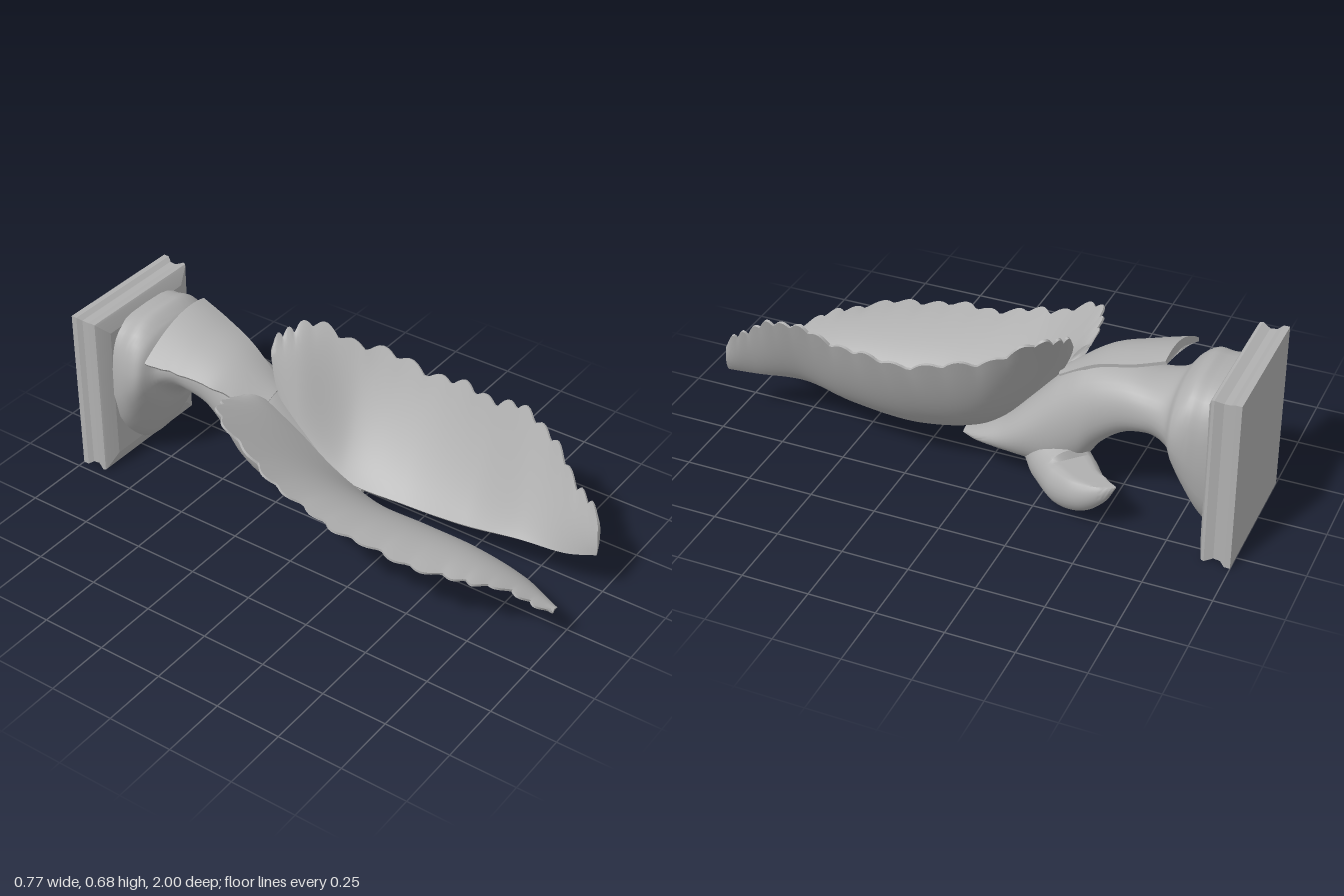
import * as THREE from 'three';
import { toCreasedNormals } from 'three/addons/utils/BufferGeometryUtils.js';

const V = (x, y, z) => new THREE.Vector3(x, y, z);
const curve = (pts) => new THREE.CatmullRomCurve3(pts.map((p) => V(...p)));

// Skin a list of closed rings, cap both ends, and turn all faces outward.
function loft(rings, crease) {
  const n = rings[0].length, pos = [], idx = [];
  rings.forEach((r) => r.forEach((p) => pos.push(p.x, p.y, p.z)));
  for (let i = 0; i < rings.length - 1; i++) {
    for (let j = 0; j < n; j++) {
      const a = i * n + j, b = i * n + (j + 1) % n;
      idx.push(a, b, a + n, b, b + n, a + n);
    }
  }
  [0, rings.length - 1].forEach((i) => {
    const c = rings[i].reduce((s, p) => s.add(p), V(0, 0, 0)).divideScalar(n);
    const k = pos.length / 3;
    pos.push(c.x, c.y, c.z);
    for (let j = 0; j < n; j++) {
      const a = i * n + j, b = i * n + (j + 1) % n;
      if (i === 0) idx.push(k, b, a); else idx.push(k, a, b);
    }
  });
  const at = (i) => V(pos[3 * i], pos[3 * i + 1], pos[3 * i + 2]);
  let volume = 0;
  for (let i = 0; i < idx.length; i += 3) volume += at(idx[i]).dot(at(idx[i + 1]).cross(at(idx[i + 2])));
  if (volume < 0) idx.reverse();
  const g = new THREE.BufferGeometry();
  g.setAttribute('position', new THREE.Float32BufferAttribute(pos, 3));
  g.setIndex(idx);
  return toCreasedNormals(g, crease);
}

// Curved sheet through rows of [inner, middle, outer] points, with a toothed outer edge.
function sheet(rows, thickness, teeth, depth, steps = 120, across = 14) {
  const [a, b, c] = [0, 1, 2].map((k) => curve(rows.map((r) => r[k])));
  const point = (u, v) => {
    const p = a.getPoint(u), q = b.getPoint(u), r = c.getPoint(u);
    const jag = depth * (Math.abs(Math.sin(u * Math.PI * teeth)) - 0.6 + 0.3 * Math.sin(u * 41));
    r.addScaledVector(r.clone().sub(q).normalize(), jag * v ** 3);
    return p.multiplyScalar(2 * (v - 0.5) * (v - 1))
      .addScaledVector(q, 4 * v * (1 - v))
      .addScaledVector(r, 2 * v * (v - 0.5));
  };
  const e = 0.02, rings = [];
  for (let i = 0; i <= steps; i++) {
    const u = i / steps, up = [], down = [];
    const u0 = Math.max(0, u - e), u1 = Math.min(1, u + e);
    for (let j = 0; j <= across; j++) {
      const v = j / across, v0 = Math.max(0, v - e), v1 = Math.min(1, v + e);
      const normal = point(u1, v).sub(point(u0, v)).cross(point(u, v1).sub(point(u, v0))).normalize();
      const t = thickness * (0.35 + 0.65 * Math.sin(Math.PI * v));
      up.push(point(u, v).addScaledVector(normal, t));
      down.push(point(u, v).addScaledVector(normal, -t));
    }
    rings.push([...up, ...down.reverse()]);
  }
  return loft(rings, 0.9);
}

export function createModel() {
  const model = new THREE.Group();
  const stone = new THREE.MeshStandardMaterial({ color: 0xb0b0b0 });
  stone.name = 'grey';
  const add = (name, geometry) => {
    const mesh = new THREE.Mesh(geometry, stone);
    mesh.name = name;
    model.add(mesh);
  };

  // Wall plate: rectangular moulding given as [z, inset]
  const plate = [[-1, 0], [-0.978, 0], [-0.96, 0.012], [-0.935, 0.014], [-0.905, 0.002],
    [-0.895, 0.004], [-0.89, 0.012], [-0.872, 0.062]];
  add('wallPlate', loft(plate.map(([z, d]) => [
    V(-0.22 + d, d, z), V(0.315 - d, d, z), V(0.315 - d, 0.66 - d, z), V(-0.22 + d, 0.66 - d, z),
  ]), 0.3));

  // Stem: [z, left x, right x, bottom, top, squareness], with a narrower underside at the plate
  const stem = [
    [-0.89, -0.16, 0.27, 0.03, 0.62, 0.5], [-0.85, -0.165, 0.28, 0.05, 0.625, 0.6],
    [-0.8, -0.17, 0.29, 0.12, 0.635, 0.7], [-0.75, -0.16, 0.285, 0.22, 0.605, 0.8],
    [-0.715, -0.1, 0.245, 0.29, 0.57, 0.9], [-0.65, -0.07, 0.22, 0.34, 0.555, 0.9],
    [-0.55, -0.06, 0.205, 0.32, 0.56, 0.9], [-0.45, -0.07, 0.2, 0.24, 0.55, 0.9],
    [-0.37, -0.075, 0.2, 0.13, 0.53, 0.95], [-0.28, -0.07, 0.2, 0.08, 0.46, 0.95],
    [-0.18, -0.045, 0.195, 0.1, 0.35, 1], [-0.08, -0.01, 0.175, 0.115, 0.245, 1],
    [0.02, 0.03, 0.145, 0.125, 0.18, 1], [0.08, 0.055, 0.11, 0.13, 0.15, 1],
  ];
  const lower = curve(stem.map(([z, x0, , y0]) => [x0, y0, z]));
  const upper = curve(stem.map(([z, , x1, , y1]) => [x1, y1, z]));
  const pow = (s, k) => Math.sign(s) * Math.abs(s) ** k;
  const stemRings = [];
  for (let i = 0; i <= 65; i++) {
    const u = i / 65, f = u * (stem.length - 1), m = Math.min(Math.floor(f), stem.length - 2);
    const k = THREE.MathUtils.lerp(stem[m][5], stem[m + 1][5], f - m);
    const p = lower.getPoint(u), q = upper.getPoint(u);
    const taper = THREE.MathUtils.smoothstep(-p.z, 0.6, 0.75);
    stemRings.push(Array.from({ length: 36 }, (_, j) => {
      const t = (j / 36) * Math.PI * 2;
      const w = 1 - taper * (Math.cos(t) < 0 ? 0.6 : 0.3) * Math.max(0, -Math.sin(t));
      return V((p.x + q.x + (q.x - p.x) * w * pow(Math.cos(t), k)) / 2,
        (p.y + q.y + (q.y - p.y) * pow(Math.sin(t), k)) / 2, p.z);
    }));
  }
  add('stem', loft(stemRings, 0.9));

  // Hook: horn swelling out of the stem and curling back, flat on top
  const spine = [[0.06, 0.19, -0.08, 0.03], [0.075, 0.165, -0.2, 0.08], [0.13, 0.135, -0.3, 0.108],
    [0.205, 0.125, -0.38, 0.104], [0.26, 0.145, -0.45, 0.082], [0.285, 0.175, -0.52, 0.045],
    [0.29, 0.2, -0.57, 0.004]];
  const path = curve(spine), radii = curve(spine.map((s) => [s[3], 0, 0]));
  const hookRings = [];
  for (let i = 0; i <= 40; i++) {
    const u = i / 40, c = path.getPoint(u), r = radii.getPoint(u).x;
    const along = path.getTangent(u), side = V(0, 1, 0).cross(along).normalize();
    const up = along.clone().cross(side);
    hookRings.push(Array.from({ length: 28 }, (_, j) => {
      const t = (j / 28) * Math.PI * 2;
      const p = c.clone().addScaledVector(side, r * Math.cos(t)).addScaledVector(up, r * Math.sin(t));
      if (u > 0.45) p.y = Math.min(p.y, 0.2);
      return p;
    }));
  }
  add('hook', loft(hookRings, 0.8));

  // Flap: tilted tongue sinking into the top of the stem
  add('flap', sheet([
    [[0.155, 0.655, -0.685], [0, 0.64, -0.69], [-0.19, 0.55, -0.69]],
    [[0.15, 0.61, -0.57], [0, 0.6, -0.57], [-0.155, 0.535, -0.57]],
    [[0.125, 0.56, -0.43], [0, 0.55, -0.43], [-0.12, 0.505, -0.43]],
    [[0.09, 0.46, -0.28], [0.03, 0.45, -0.28], [-0.05, 0.42, -0.28]],
  ], 0.018, 4, 0.004, 30));

  // Left blade: steep, cupped, toothed along its upper rim
  add('leftBlade', sheet([
    [[0.055, 0.45, -0.27], [0.075, 0.55, -0.31], [0.1, 0.62, -0.33]],
    [[0.05, 0.32, -0.18], [0.12, 0.51, -0.23], [0.21, 0.67, -0.28]],
    [[0.065, 0.18, 0], [0.21, 0.34, -0.04], [0.32, 0.6, -0.08]],
    [[0.11, 0.14, 0.25], [0.25, 0.3, 0.2], [0.37, 0.55, 0.2]],
    [[0.11, 0.16, 0.5], [0.235, 0.3, 0.48], [0.35, 0.555, 0.45]],
    [[0.11, 0.2, 0.72], [0.2, 0.33, 0.7], [0.315, 0.57, 0.66]],
    [[0.14, 0.2, 0.9], [0.18, 0.3, 0.88], [0.235, 0.46, 0.85]],
    [[0.175, 0.215, 1], [0.19, 0.27, 0.995], [0.205, 0.35, 0.98]],
  ], 0.013, 17, 0.032));

  // Right blade: lies lower, arching over towards its outer rim
  add('rightBlade', sheet([
    [[-0.01, 0.46, -0.28], [-0.05, 0.485, -0.31], [-0.1, 0.5, -0.33]],
    [[0.04, 0.33, -0.17], [-0.08, 0.43, -0.24], [-0.25, 0.55, -0.31]],
    [[0.065, 0.19, 0], [-0.1, 0.315, -0.06], [-0.325, 0.45, -0.1]],
    [[0.055, 0.12, 0.25], [-0.12, 0.275, 0.2], [-0.36, 0.37, 0.15]],
    [[0.055, 0.1, 0.44], [-0.11, 0.265, 0.43], [-0.37, 0.335, 0.42]],
    [[0.03, 0.13, 0.65], [-0.11, 0.255, 0.66], [-0.31, 0.29, 0.68]],
    [[-0.01, 0.145, 0.84], [-0.09, 0.205, 0.84], [-0.21, 0.25, 0.84]],
    [[-0.08, 0.145, 0.99], [-0.1, 0.155, 0.998], [-0.125, 0.165, 0.99]],
  ], 0.013, 17, 0.028));

  return model;
}
